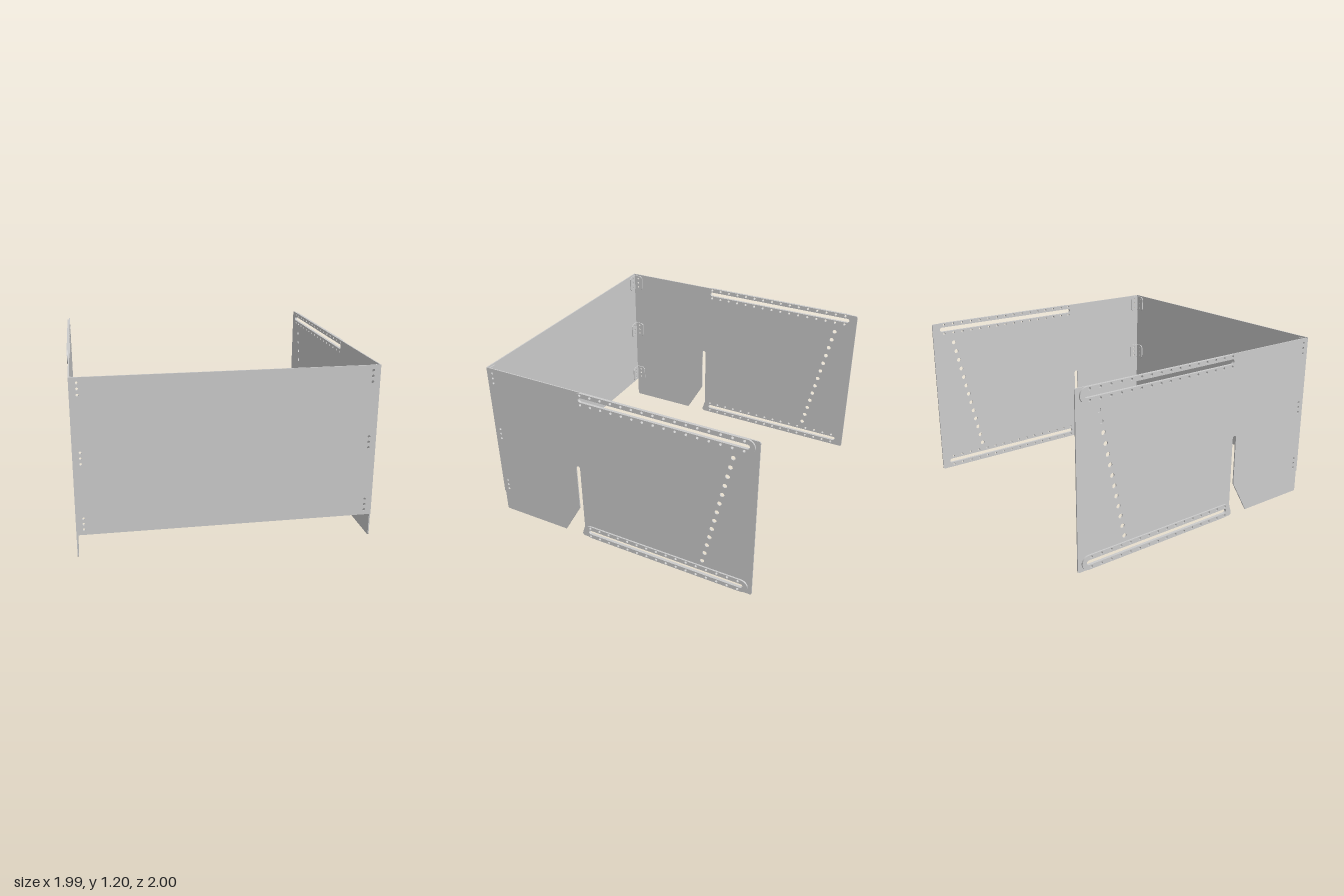
import * as THREE from 'three';

const material = new THREE.MeshStandardMaterial({ color: 0xcccccc });
const T = 0.008; // sheet thickness
const PANEL_X = 0.977; // inner face of the side panels
const FRONT_Z = 0.992; // inner face of the front panel
const RIVET_ROWS = [1.127, 0.68, 0.235]; // heights of the corner brackets
const RIVETS = [-0.038, 0, 0.038];

function addHole(shape, x, y, r) {
  shape.holes.push(new THREE.Path().absarc(x, y, r, 0, Math.PI * 2, true));
}

// Stadium outline between two x positions
function stadium(path, x0, x1, y, r) {
  path.moveTo(x0, y - r);
  path.lineTo(x1, y - r);
  path.absarc(x1, y, r, -Math.PI / 2, Math.PI / 2, false);
  path.lineTo(x0, y + r);
  path.absarc(x0, y, r, Math.PI / 2, Math.PI * 1.5, false);
  return path;
}

// Long slot with a row of small holes above and below it
function addSlot(shape, y) {
  shape.holes.push(stadium(new THREE.Path(), -0.923, 0.238, y, 0.017));
  for (let i = 0; i < 16; i++) {
    for (const dy of [-0.035, 0.035]) addHole(shape, 0.24 - i * 0.0763, y + dy, 0.0095);
  }
}

function plate(shape, depth, name) {
  const geometry = new THREE.ExtrudeGeometry(shape, { depth, bevelEnabled: false, curveSegments: 10 });
  const mesh = new THREE.Mesh(geometry, material);
  mesh.name = name;
  return mesh;
}

// Plate drawn in (z, y), standing on the given side with its inner face at x
function sidePlate(shape, x, depth, side, name) {
  const mesh = plate(shape, depth, name);
  mesh.geometry.rotateY(-Math.PI / 2);
  mesh.position.x = side > 0 ? x + depth : -x;
  return mesh;
}

// Side panel outline with the funnel-shaped notch in its lower edge
function sidePanelShape() {
  const s = new THREE.Shape();
  const c = 0.015;
  s.moveTo(-1 + c, 0);
  s.lineTo(0.3, 0);
  s.quadraticCurveTo(0.318, 0.004, 0.313, 0.025);
  s.lineTo(0.292, 0.09);
  s.lineTo(0.292, 0.59);
  s.absarc(0.3075, 0.59, 0.0155, Math.PI, 0, true);
  s.lineTo(0.323, 0.24);
  s.lineTo(0.46, 0);
  s.lineTo(FRONT_Z - c, 0);
  s.quadraticCurveTo(FRONT_Z, 0, FRONT_Z, c);
  s.lineTo(FRONT_Z, 1.2 - c);
  s.quadraticCurveTo(FRONT_Z, 1.2, FRONT_Z - c, 1.2);
  s.lineTo(-1 + c, 1.2);
  s.quadraticCurveTo(-1, 1.2, -1, 1.2 - c);
  s.lineTo(-1, c);
  s.quadraticCurveTo(-1, 0, -1 + c, 0);
  addSlot(s, 0.055);
  addSlot(s, 1.15);
  // Slanted row of larger holes
  for (let i = 0; i < 13; i++) {
    const t = i / 12;
    addHole(s, -0.64 - 0.193 * t, 0.147 + 0.89 * t, 0.016);
  }
  for (const y of RIVET_ROWS) for (const d of RIVETS) addHole(s, 0.955, y + d, 0.009);
  return s;
}

function stripShape(y) {
  const s = stadium(new THREE.Shape(), -0.922, 0.237, y, 0.05);
  addSlot(s, y);
  return s;
}

function frontPanelShape() {
  const s = new THREE.Shape();
  s.moveTo(-0.984, 0.16);
  s.lineTo(0.984, 0.16);
  s.lineTo(0.984, 1.2);
  s.lineTo(-0.984, 1.2);
  for (const y of RIVET_ROWS) {
    for (const d of RIVETS) for (const x of [-0.935, 0.935]) addHole(s, x, y + d, 0.009);
  }
  return s;
}

// Bracket leg running from the fold at "fold" to its clipped free end at "end"
function legShape(fold, end, hole, y) {
  const h = 0.0625, c = 0.018, cut = end + Math.sign(fold - end) * c;
  const s = new THREE.Shape();
  s.moveTo(fold, y - h);
  s.lineTo(cut, y - h);
  s.lineTo(end, y - h + c);
  s.lineTo(end, y + h - c);
  s.lineTo(cut, y + h);
  s.lineTo(fold, y + h);
  for (const d of RIVETS) addHole(s, hole, y + d, 0.009);
  return s;
}

export function createModel() {
  const model = new THREE.Group();
  model.name = 'enclosure';

  const front = plate(frontPanelShape(), T, 'frontPanel');
  front.position.z = FRONT_Z;
  model.add(front);

  for (const side of [1, -1]) {
    const label = side > 0 ? 'left' : 'right';
    model.add(sidePlate(sidePanelShape(), PANEL_X, T, side, label + 'SidePanel'));

    // Slotted strips on the outer face
    for (const [y, place] of [[0.055, 'Lower'], [1.15, 'Upper']]) {
      model.add(sidePlate(stripShape(y), PANEL_X + T, 0.011, side, label + place + 'SlotStrip'));
    }

    // Angle brackets in the front corner
    RIVET_ROWS.forEach((y, i) => {
      const bracket = new THREE.Group();
      bracket.name = `${label}CornerBracket${i + 1}`;
      bracket.add(sidePlate(legShape(FRONT_Z, 0.915, 0.955, y), PANEL_X - T, T, side, 'bracketSideLeg'));
      const leg = plate(legShape(side * (PANEL_X - T), side * 0.897, side * 0.935, y), T, 'bracketFrontLeg');
      leg.position.z = FRONT_Z - T;
      bracket.add(leg);
      model.add(bracket);
    });
  }
  return model;
}
